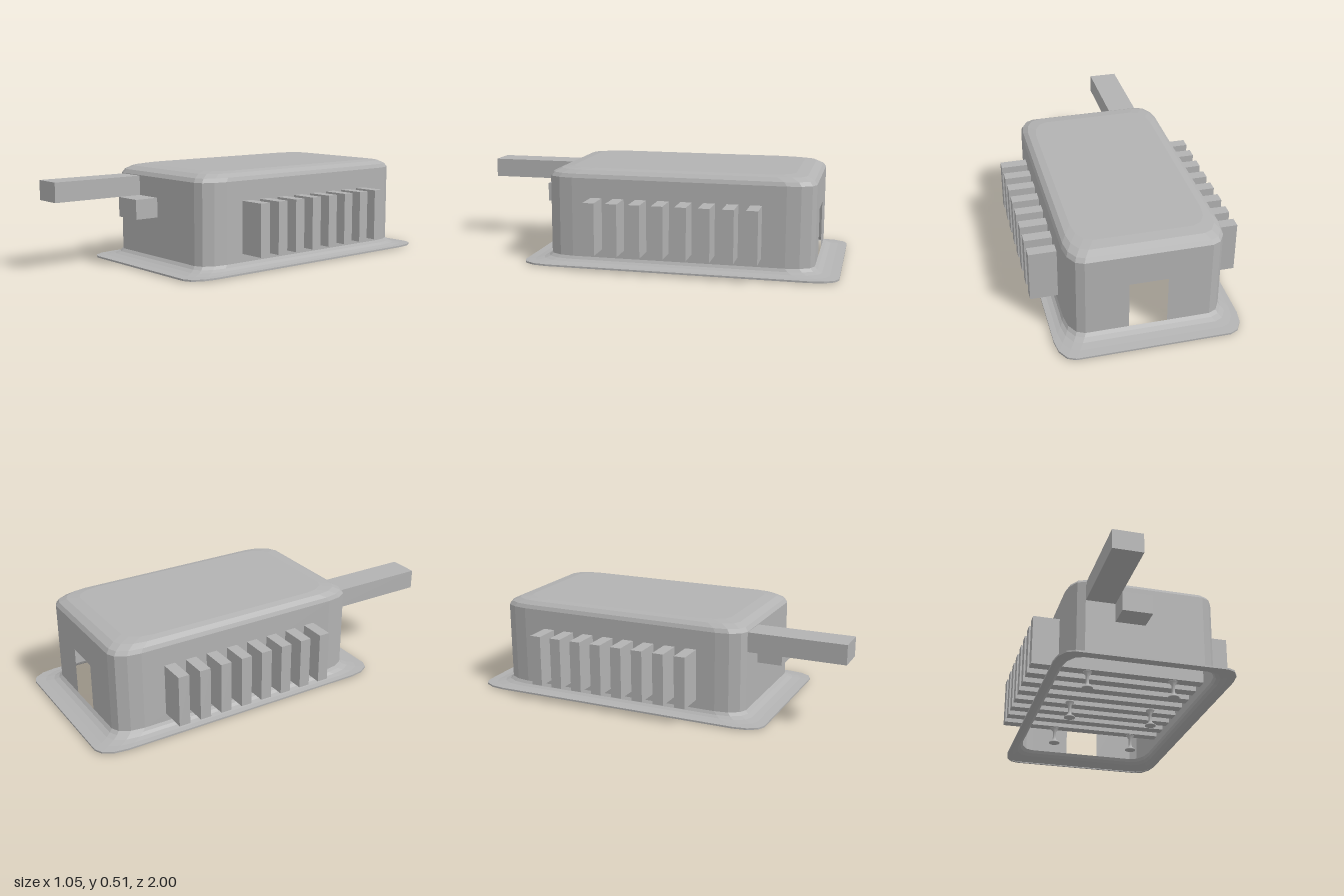
import * as THREE from 'three';

const CZ = -0.1875, HX = 0.388, HZ = 0.688; // body centre and half sizes
const RX = 0.08, RZ = 0.14, STEPS = 3;      // faceted elliptical corners

// Rounded rectangle loop, offset outward by ox / oz at height y
function ring(ox, oz, y) {
  const pts = [];
  for (let c = 0; c < 4; c++) {
    const sx = c === 0 || c === 3 ? 1 : -1, sz = c < 2 ? 1 : -1;
    for (let k = 0; k <= STEPS; k++) {
      const a = (c + k / STEPS) * Math.PI / 2;
      pts.push(new THREE.Vector3(
        sx * (HX + ox - RX) + RX * Math.cos(a), y,
        CZ + sz * (HZ + oz - RZ) + RZ * Math.sin(a)));
    }
  }
  return pts;
}

export function createModel() {
  const model = new THREE.Group();
  const gray = new THREE.MeshStandardMaterial({ color: 0xb2b2b2 });
  gray.name = 'gray plastic';
  gray.side = THREE.DoubleSide;

  function add(name, geometry, x = 0, y = 0, z = 0) {
    const mesh = new THREE.Mesh(geometry, gray);
    mesh.name = name;
    mesh.position.set(x, y, z);
    model.add(mesh);
    return mesh;
  }
  function box(name, x0, x1, y0, y1, z0, z1) {
    add(name, new THREE.BoxGeometry(x1 - x0, y1 - y0, z1 - z0),
      (x0 + x1) / 2, (y0 + y1) / 2, (z0 + z1) / 2);
  }

  // Open-bottomed shell: flange, straight wall, rounded roof edge
  const wallBottom = 0.05, wallTop = 0.46;
  const profile = [
    [0.064, 0.112, 0.005], [0.072, 0.125, 0.005], [0.072, 0.125, 0.014],
    [0.045, 0.078, 0.017], [0.022, 0.038, 0.024], [0.008, 0.014, 0.035],
    [0, 0, wallBottom], [0, 0, wallTop],
    [-0.008, -0.014, 0.48], [-0.03, -0.05, 0.498], [-0.065, -0.11, 0.506]
  ];
  const rings = profile.map(p => ring(...p));
  const n = rings[0].length, verts = [];
  const tri = (...ps) => ps.forEach(p => verts.push(p.x, p.y, p.z));
  for (let r = 0; r < rings.length - 1; r++) {
    for (let i = 0; i < n; i++) {
      // the flat back panel is made separately, with its opening
      if (profile[r][2] === wallBottom && i === 3 * (STEPS + 1) - 1) continue;
      const j = (i + 1) % n, a = rings[r], b = rings[r + 1];
      tri(a[i], b[i], a[j]);
      tri(b[i], b[j], a[j]);
    }
  }
  const top = rings[rings.length - 1], centre = new THREE.Vector3(0, 0.506, CZ);
  for (let i = 0; i < n; i++) tri(centre, top[(i + 1) % n], top[i]);
  const shell = new THREE.BufferGeometry();
  shell.setAttribute('position', new THREE.Float32BufferAttribute(verts, 3));
  shell.computeVertexNormals();
  add('shell', shell);

  // Back panel with a doorway notch
  const w = HX - RX, d = 0.095, doorTop = 0.3;
  const panel = new THREE.Shape([
    [-w, wallBottom], [-d, wallBottom], [-d, doorTop], [d, doorTop],
    [d, wallBottom], [w, wallBottom], [w, wallTop], [-w, wallTop]
  ].map(p => new THREE.Vector2(...p)));
  add('backPanel', new THREE.ShapeGeometry(panel), 0, 0, CZ - HZ).rotation.y = Math.PI;

  // Cross slats that run through both side walls
  for (let i = 0; i < 8; i++) {
    const z = -0.588 + i * 0.117;
    box('slat', -0.527, 0.527, 0.093, 0.36, z - 0.029, z + 0.029);
  }

  // Front bar and the short block beside it
  box('frontBar', -0.307, -0.155, 0.356, 0.457, 0.42, 1);
  box('frontBlock', -0.155, 0, 0.255, 0.356, 0.42, 0.63);

  // Spool-shaped feet under the slats
  const spool = [[0, 0], [0.031, 0], [0.031, 0.006], [0.012, 0.02], [0.009, 0.035],
    [0.009, 0.07], [0.024, 0.09], [0.024, 0.095], [0, 0.095]];
  const footGeometry = new THREE.LatheGeometry(spool.map(p => new THREE.Vector2(...p)), 12);
  for (const x of [-0.23, 0.23])
    for (const z of [-0.588, -0.18, 0.23]) add('foot', footGeometry, x, 0, z);

  return model;
}
